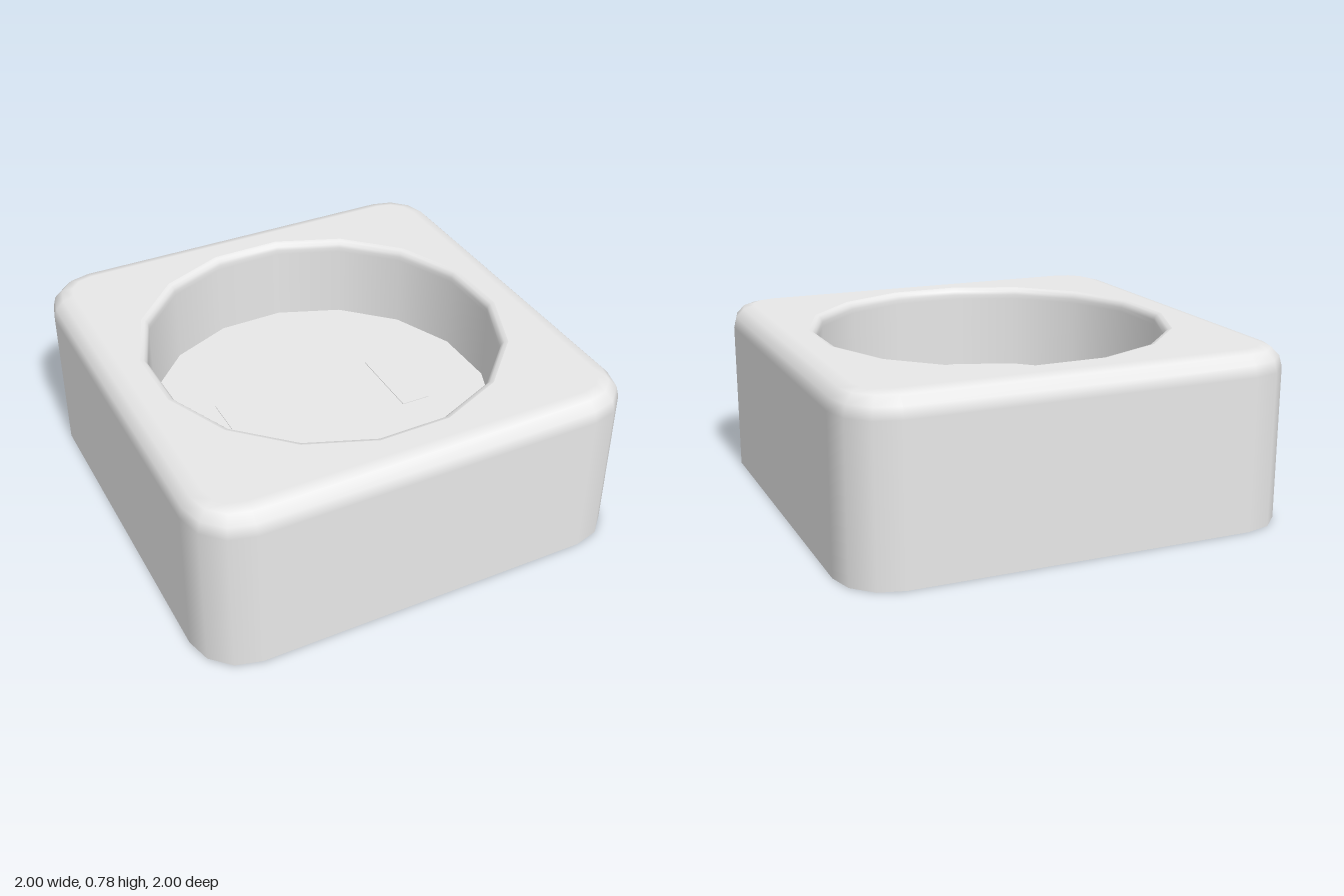
import * as THREE from 'three';

const HEIGHT = 0.78, FLOOR = 0.385, WELL_R = 0.787, RIM_R = 0.82, SIDES = 16;
const TURN = Math.PI / SIDES + 0.017; // rotation of the sixteen-sided well

// Rounded-square wall whose top edge rolls inwards
function housingGeometry() {
  const core = 0.77, cornerR = 0.23, edgeR = 0.1, steps = 3;
  const around = [];
  for (let q = 0; q < 4; q++) {
    for (let i = 0; i <= steps; i++) {
      const a = (q + i / steps) * Math.PI / 2;
      const mid = (q + 0.5) * Math.PI / 2;
      around.push({
        cx: Math.sign(Math.cos(mid)) * core, cz: Math.sign(Math.sin(mid)) * core,
        nx: Math.cos(a), nz: Math.sin(a),
      });
    }
  }
  const levels = [{ y: 0, phi: 0 }];
  for (let i = 0; i <= steps; i++) {
    const phi = (i / steps) * Math.PI / 2;
    levels.push({ y: HEIGHT - edgeR + edgeR * Math.sin(phi), phi });
  }
  const pos = [], nor = [], idx = [], n = around.length;
  levels.forEach(({ y, phi }, l) => {
    const r = cornerR - edgeR + edgeR * Math.cos(phi);
    around.forEach(({ cx, cz, nx, nz }, k) => {
      pos.push(cx + nx * r, y, cz + nz * r);
      nor.push(nx * Math.cos(phi), Math.sin(phi), nz * Math.cos(phi));
      if (l < levels.length - 1) {
        const a = l * n + k, b = l * n + (k + 1) % n;
        idx.push(a, a + n, b, b, a + n, b + n);
      }
    });
  });
  const g = new THREE.BufferGeometry();
  g.setAttribute('position', new THREE.Float32BufferAttribute(pos, 3));
  g.setAttribute('normal', new THREE.Float32BufferAttribute(nor, 3));
  g.setIndex(idx);
  // Outline of the flat top, as shape points (shape y is -z)
  const top = around.map(({ cx, cz, nx, nz }) =>
    new THREE.Vector2(cx + nx * (cornerR - edgeR), -(cz + nz * (cornerR - edgeR))));
  return { wall: g, top };
}

export function createModel() {
  const group = new THREE.Group();
  const grey = new THREE.MeshStandardMaterial({ color: 0xe7e7e7, side: THREE.DoubleSide });
  grey.name = 'light grey plastic';

  const add = (name, geometry, x = 0, y = 0, z = 0) => {
    const mesh = new THREE.Mesh(geometry, grey);
    mesh.name = name;
    mesh.position.set(x, y, z);
    group.add(mesh);
    return mesh;
  };

  // Open-bottomed housing
  const { wall, top } = housingGeometry();
  add('housingWall', wall);

  // Flat top with the well opening
  const topShape = new THREE.Shape(top);
  const opening = [];
  for (let i = 0; i < SIDES; i++) {
    const a = TURN + (i / SIDES) * Math.PI * 2;
    opening.push(new THREE.Vector2(Math.sin(a) * RIM_R, -Math.cos(a) * RIM_R));
  }
  topShape.holes.push(new THREE.Path(opening));
  add('topFace', new THREE.ShapeGeometry(topShape).rotateX(-Math.PI / 2), 0, HEIGHT, 0);

  // Well wall with a softened rim
  const lip = RIM_R - WELL_R;
  const profile = [];
  for (let i = 0; i <= 3; i++) {
    const a = (i / 3) * Math.PI / 2;
    profile.push(new THREE.Vector2(RIM_R - lip * Math.sin(a), HEIGHT - lip * (1 - Math.cos(a))));
  }
  profile.push(new THREE.Vector2(WELL_R, HEIGHT - lip - 0.02), new THREE.Vector2(WELL_R, FLOOR));
  add('wellWall', new THREE.LatheGeometry(profile, SIDES, TURN));

  // Socket face at the bottom of the well
  const slab = 0.025;
  add('socketFace', new THREE.CylinderGeometry(WELL_R, WELL_R, slab, SIDES, 1, false, TURN),
    0, FLOOR - slab / 2, 0);

  // Two blade contacts
  for (const [name, side] of [['leftSlot', 1], ['rightSlot', -1]]) {
    add(name, new THREE.BoxGeometry(0.135, 0.004, 0.37), side * 0.39, FLOOR + 0.001, 0);
  }

  // Ground contact, rounded towards the back
  const w = 0.12, r = 0.1;
  const ground = new THREE.Shape();
  ground.moveTo(-w, -0.55);
  ground.lineTo(w, -0.55);
  ground.lineTo(w, -0.31 - r);
  ground.absarc(w - r, -0.31 - r, r, 0, Math.PI / 2, false);
  ground.absarc(r - w, -0.31 - r, r, Math.PI / 2, Math.PI, false);
  ground.closePath();
  add('groundSlot', new THREE.ExtrudeGeometry(ground, { depth: 0.004, bevelEnabled: false, curveSegments: 5 })
    .rotateX(-Math.PI / 2), 0, FLOOR - 0.001, 0);

  return group;
}
